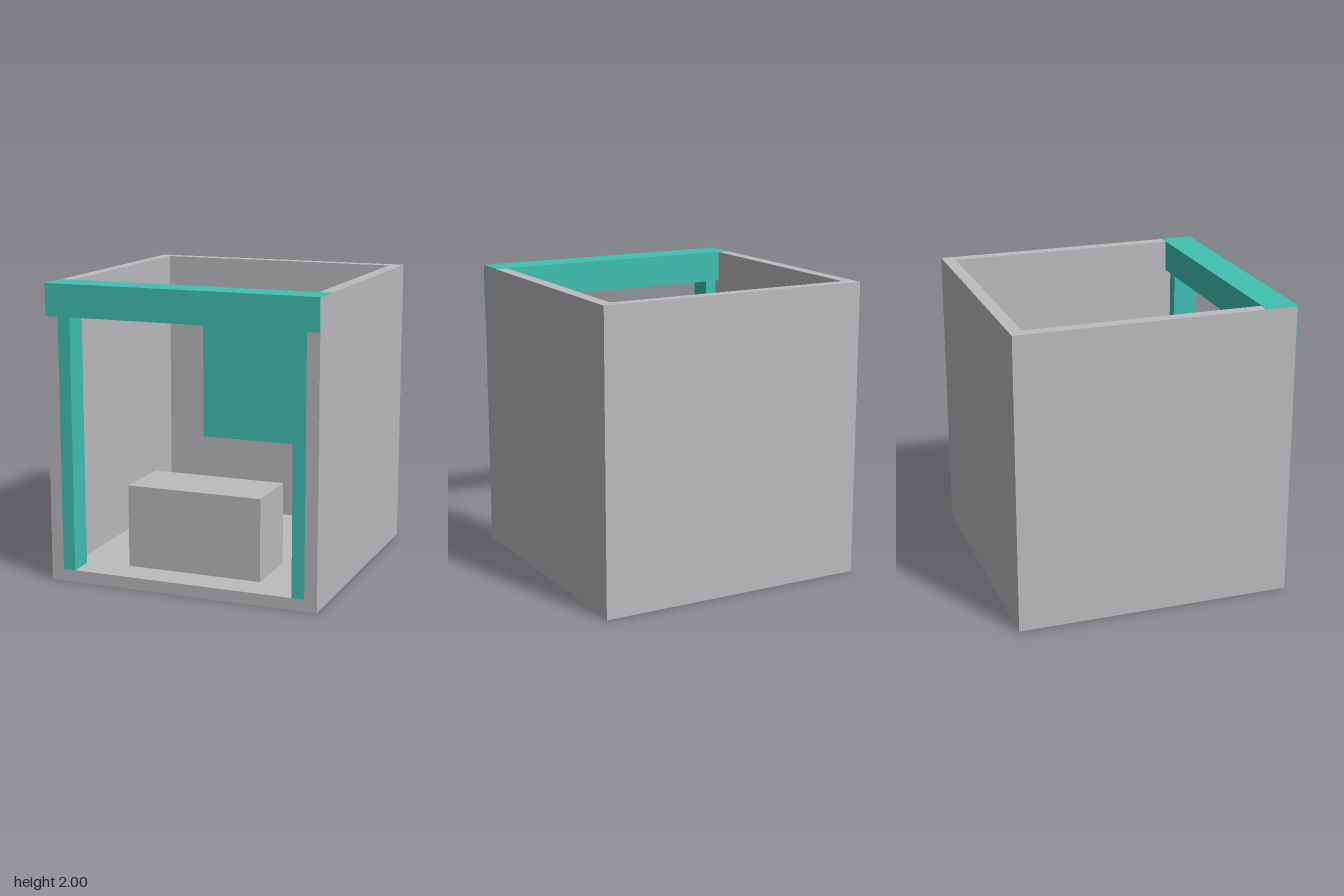
import * as THREE from 'three';

const paint = (name, color) => {
  const m = new THREE.MeshStandardMaterial({ color });
  m.name = name;
  return m;
};

// Box given by its lower and upper corners
function block(name, material, [x0, y0, z0], [x1, y1, z1]) {
  const mesh = new THREE.Mesh(new THREE.BoxGeometry(x1 - x0, y1 - y0, z1 - z0), material);
  mesh.position.set((x0 + x1) / 2, (y0 + y1) / 2, (z0 + z1) / 2);
  mesh.name = name;
  return mesh;
}

export function createModel() {
  const grey = paint('wall grey', 0xbcbcbf);
  const teal = paint('trim teal', 0x40c1b2);
  const slate = paint('panel slate', 0x48677f);

  const W = 0.935, IN = 0.85, BACK = -0.94, FRONT = 0.932, FLOOR = 0.08, TOP = 1.998;
  const group = new THREE.Group();
  group.name = 'booth';

  // Three walls as one U-shaped plan, extruded upwards (shape y becomes -z)
  const plan = new THREE.Shape([
    [-W, -FRONT], [-IN, -FRONT], [-IN, 0.855], [IN, 0.855],
    [IN, -FRONT], [W, -FRONT], [W, -BACK], [-W, -BACK],
  ].map(([x, y]) => new THREE.Vector2(x, y)));
  const wallGeometry = new THREE.ExtrudeGeometry(plan, { depth: TOP, bevelEnabled: false });
  wallGeometry.rotateX(-Math.PI / 2);
  const walls = new THREE.Mesh(wallGeometry, grey);
  walls.name = 'walls';
  group.add(walls);

  // Floor and counter
  group.add(block('floor', grey, [-IN, 0, -0.855], [IN, FLOOR, FRONT]));
  group.add(block('counter', grey, [-0.47, FLOOR, 0.275], [0.47, 0.64, 0.71]));

  // Front posts, against the inside of the side walls
  for (const [side, x] of [['left', 0.765], ['right', -IN]]) {
    group.add(block(side + 'Post', teal, [x, FLOOR, 0.76], [x + 0.085, 1.79, FRONT]));
  }

  // Header beam across the front
  group.add(block('headerBeam', teal, [-0.934, 1.785, 0.72], [0.934, 2, 0.94]));

  // Display panel and its mount in front of the back wall
  group.add(block('panelMount', slate, [-0.51, 0.68, -0.83], [0.51, 1.64, -0.8]));
  group.add(block('displayPanel', teal, [-0.533, 0.66, -0.8], [0.533, 1.66, -0.74]));

  return group;
}
